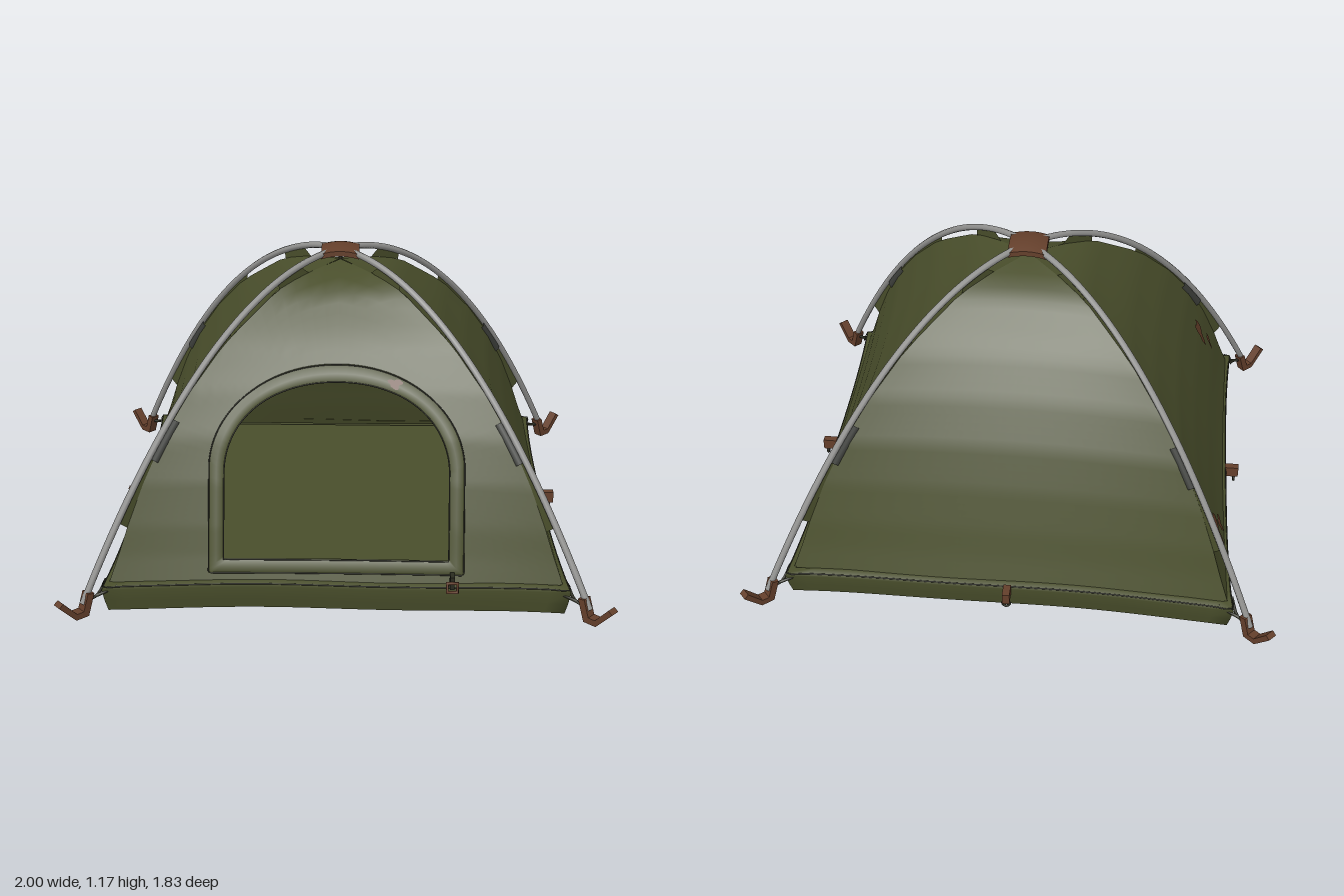
import * as THREE from 'three';
import { ParametricGeometry } from 'three/addons/geometries/ParametricGeometry.js';

const mat = (name, color, side = THREE.FrontSide) => {
  const m = new THREE.MeshStandardMaterial({ color, side });
  m.name = name;
  return m;
};
const V = (x, y, z) => new THREE.Vector3(x, y, z);

// Linear lookup in a list of [key, value] pairs
function lookup(table, k) {
  for (let i = 1; i < table.length; i++) {
    const [k0, v0] = table[i - 1], [k1, v1] = table[i];
    if (k <= k1) return v0 + (v1 - v0) * Math.max(0, (k - k0) / (k1 - k0));
  }
  return table[table.length - 1][1];
}

// Half width of the canopy at each height, and depth relative to width
const PROFILE = [[0.09, 0.83], [0.2, 0.79], [0.3, 0.757], [0.45, 0.7], [0.6, 0.63], [0.75, 0.535],
  [0.88, 0.43], [0.93, 0.377], [0.975, 0.322], [1.045, 0.235], [1.08, 0.145], [1.11, 0]];
const DEPTH = 0.92, BOTTOM = 0.09, TOP = 1.109;
const halfX = y => lookup(PROFILE, y);
const halfZ = y => halfX(y) * DEPTH;
// Panels hang slightly inward between the corners, more so higher up
const sag = (u, y) => 1 - (0.006 + 0.085 * y) * (1 - Math.min(1, u * u));
const onFront = (x, y, off = 0) => V(x, y, halfZ(y) * sag(x / Math.max(halfX(y), 1e-4), y) + off);
const onSide = (z, y, off = 0) => V(halfX(y) * sag(z / Math.max(halfZ(y), 1e-4), y) + off, y, z);

// Surface through rows of points
function loft(rows, closed) {
  const n = rows[0].length, index = [];
  for (let r = 0; r < rows.length - 1; r++)
    for (let i = 0; i < (closed ? n : n - 1); i++) {
      const a = r * n + i, b = r * n + (i + 1) % n;
      index.push(a, b, b + n, a, b + n, a + n);
    }
  const g = new THREE.BufferGeometry().setFromPoints(rows.flat());
  g.setIndex(index);
  g.computeVertexNormals();
  return g;
}

// Arched door outline, counter-clockwise from the middle of the sill
function doorLoop(w, sill, spring, top) {
  const p = (x, y) => new THREE.Vector2(x, y);
  const L = (a, b) => new THREE.LineCurve(a, b);
  return [
    L(p(0, sill), p(w, sill)), L(p(w, sill), p(w, spring)),
    new THREE.CubicBezierCurve(p(w, spring), p(w - 0.01, spring + 0.17), p(w * 0.6, top), p(0, top)),
    new THREE.CubicBezierCurve(p(0, top), p(-w * 0.6, top), p(0.01 - w, spring + 0.17), p(-w, spring)),
    L(p(-w, spring), p(-w, sill)), L(p(-w, sill), p(0, sill)),
  ].flatMap(c => c.getPoints(24).slice(0, -1));
}

export function createModel() {
  const group = new THREE.Group();
  const canvas = mat('olive canvas', 0x494e2b, THREE.DoubleSide);
  const seam = mat('dark seam', 0x2a2b20);
  const metal = mat('grey metal', 0x929290);
  const leather = mat('brown leather', 0x643f2b);
  const pad = mat('dark grey pad', 0x3d3f3b);
  const stain = mat('rust stain', 0x5f3a26, THREE.DoubleSide);

  const add = (name, geometry, material, parent = group) => {
    const m = new THREE.Mesh(geometry, material);
    m.name = name;
    parent.add(m);
    return m;
  };
  const tube = (name, pts, radius, material, closed = false, segs = 40) =>
    add(name, new THREE.TubeGeometry(new THREE.CatmullRomCurve3(pts, closed, 'centripetal'), segs, radius, 8, closed), material);

  // Back and side panels
  const panel = (name, place) => {
    const g = new ParametricGeometry((u, v, t) => {
      const y = BOTTOM + (TOP - BOTTOM) * v;
      t.copy(place(2 * u - 1, y));
    }, 24, 40);
    g.computeVertexNormals();
    add(name, g, canvas);
  };
  panel('backPanel', (u, y) => onFront(-u * halfX(y), y).multiply(V(1, 1, -1)));
  panel('leftPanel', (u, y) => onSide(-u * halfZ(y), y));
  panel('rightPanel', (u, y) => onSide(u * halfZ(y), y).multiply(V(-1, 1, 1)));

  // Front panel spreads outward from the door opening to its edges
  const inner = doorLoop(0.408, 0.19, 0.5, 0.775);
  const outer = doorLoop(0.462, 0.145, 0.52, 0.828);
  const edge = inner.map(p => {
    const d = p.clone().sub(new THREE.Vector2(0, 0.45));
    let lo = 1, hi = 8;
    for (let i = 0; i < 30; i++) {
      const s = (lo + hi) / 2, y = 0.45 + d.y * s;
      if (y < BOTTOM || y > TOP || Math.abs(d.x * s) > halfX(y)) hi = s; else lo = s;
    }
    return new THREE.Vector2(d.x * lo, 0.45 + d.y * lo);
  });
  const between = (a, b, t, off) => a.map((p, i) => {
    const q = p.clone().lerp(b[i], t);
    return onFront(q.x, q.y, off);
  });
  const steps = Array.from({ length: 11 }, (_, i) => i / 10);
  add('frontPanel', loft(steps.map(t => between(edge, inner, t, 0)), true), canvas);

  // Raised door surround with piping
  add('doorSurround', loft([[0, 0], [0, 0.012], [0.5, 0.014], [1, 0.012], [1, 0]]
    .map(([t, off]) => between(outer, inner, t, off)), true), canvas);
  for (const [name, loop] of [['outerDoorSeam', outer], ['innerDoorSeam', inner]])
    tube(name, between(loop, loop, 0, 0.011), 0.0025, seam, true, 200);

  // Skirt around the base, flaring a little at the corners
  const ring = (y, grow) => {
    const pts = [], n = 24;
    for (let s = 0; s < 4; s++) for (let i = 0; i < n; i++) {
      const u = 2 * i / n - 1;
      const [a, b] = [[1, u], [-u, 1], [-1, -u], [u, -1]][s];
      const flare = 0.022 * Math.abs(u) ** 3 + grow;
      const wave = 0.004 * Math.sin(5 * a + 3 * b);
      pts.push(V(a * (0.82 + flare), y + wave, -b * (0.77 + flare)));
    }
    return pts;
  };
  add('skirt', loft([ring(0.008, -0.013), ring(0.05, -0.004), ring(0.1, 0.004), ring(0.112, -0.002), ring(0.114, -0.03)], true), canvas);
  tube('skirtSeam', ring(0.111, 0), 0.0025, seam, true, 240);
  const floor = add('floor', new THREE.PlaneGeometry(1.62, 1.5), canvas);
  floor.rotation.x = -Math.PI / 2;
  floor.position.y = 0.085;

  // Poles follow a parabola from each corner to the crown
  const polePts = Array.from({ length: 61 }, (_, i) => {
    const x = 0.91 * (1 - i / 60);
    return V(x, 1.15 - 1.32 * x * x, x * 0.91);
  });
  const footShape = new THREE.Shape([[-0.03, 0.095], [-0.002, 0.012], [0.05, 0.012], [0.115, 0.085], [0.098, 0.098],
    [0.045, 0.036], [0.018, 0.036], [-0.004, 0.1]].map(p => new THREE.Vector2(...p)));
  const footGeo = new THREE.ExtrudeGeometry(footShape, { depth: 0.038, bevelEnabled: false }).translate(0, 0, -0.019);

  // Poles, sleeves, pads, feet and ties at each corner
  for (const sx of [1, -1]) for (const sz of [1, -1]) {
    const flip = V(sx, 1, sz);
    const at = p => p.clone().multiply(flip);
    tube('pole', polePts.filter((_, i) => i % 3 === 0).map(at), 0.0125, metal, false, 60);

    // Sleeves join canopy corners to the pole, with open gaps between
    for (const [lo, hi] of [[0.31, 0.945], [1.076, 1.12]]) {
      const run = polePts.filter(p => p.y >= lo && p.y <= hi);
      const corner = run.map(p => {
        const y = p.y - 0.035;
        return at(V(halfX(y) - 0.005, y, halfZ(y) - 0.005));
      });
      add('poleSleeve', loft([run.map(at), corner], false), canvas);
    }
    const padPts = polePts.filter(p => p.y > 0.52 && p.y < 0.68).map(p => at(p.clone().add(V(-0.019, -0.012, -0.018))));
    tube('sleevePad', padPts, 0.021, pad, false, 12);

    const foot = add('foot', footGeo, leather);
    foot.position.set(sx * 0.903, 0, sz * 0.823);
    foot.rotation.y = -Math.atan2(sz * 0.67, sx * 0.74);
    for (const [dx, dz] of [[0, -0.05], [-0.05, 0]])
      tube('cornerTie', [V(0.84 + dx, 0.105, 0.78 + dz), V(0.865, 0.075, 0.8), V(0.9, 0.07, 0.82)].map(at), 0.006, seam, false, 8);
  }

  // Domed crown cap with the strap that holds up the canopy
  const capGeo = new THREE.BoxGeometry(0.145, 0.02, 0.145, 8, 1, 8);
  const cp = capGeo.attributes.position;
  for (let i = 0; i < cp.count; i++)
    cp.setY(i, cp.getY(i) - 2.2 * (cp.getX(i) ** 2 + cp.getZ(i) ** 2));
  capGeo.computeVertexNormals();
  add('crownCap', capGeo, leather).position.y = 1.16;
  add('crownStrap', new THREE.CylinderGeometry(0.007, 0.007, 0.06, 8), seam).position.y = 1.12;

  // Peg toggles on the skirt, and a buckle at the door corner
  for (const [x, y, z, turn] of [[0, 0.1, -0.8, Math.PI], [0.845, 0.1, 0, Math.PI / 2], [-0.845, 0.1, 0, -Math.PI / 2]]) {
    const toggle = new THREE.Group();
    toggle.name = 'toggle';
    toggle.position.set(x, y, z);
    toggle.rotation.y = turn;
    add('toggleStrap', new THREE.BoxGeometry(0.028, 0.045, 0.055), leather, toggle);
    add('toggleRing', new THREE.TorusGeometry(0.014, 0.005, 6, 14), seam, toggle).position.set(0, -0.034, 0.012);
    group.add(toggle);
  }
  add('doorStrap', new THREE.BoxGeometry(0.016, 0.05, 0.04), seam).position.set(0.42, 0.135, 0.772);
  const buckle = add('doorBuckle', new THREE.TorusGeometry(0.026, 0.007, 6, 4), leather);
  buckle.geometry.rotateZ(Math.PI / 4);
  buckle.position.set(0.42, 0.122, 0.797);

  // Rust stains lying on the cloth
  const blot = (place, a, y, w, h) => add('stain', new ParametricGeometry((u, v, t) => {
    const ang = u * Math.PI * 2, r = v * (1 + 0.25 * Math.sin(3 * ang) + 0.15 * Math.cos(5 * ang));
    t.copy(place(a + w * r * Math.cos(ang), y + h * r * Math.sin(ang)));
  }, 24, 4), stain);
  const onRight = (z, y) => onSide(z, y, 0.005).multiply(V(-1, 1, 1));
  blot(onRight, -0.49, 0.22, 0.042, 0.07);
  blot(onRight, -0.41, 0.18, 0.025, 0.035);
  blot(onRight, 0.47, 0.46, 0.028, 0.055);
  blot(onRight, 0.55, 0.36, 0.014, 0.035);
  blot((x, y) => onFront(x, y, 0.017), 0.21, 0.775, 0.024, 0.015);

  return group;
}
